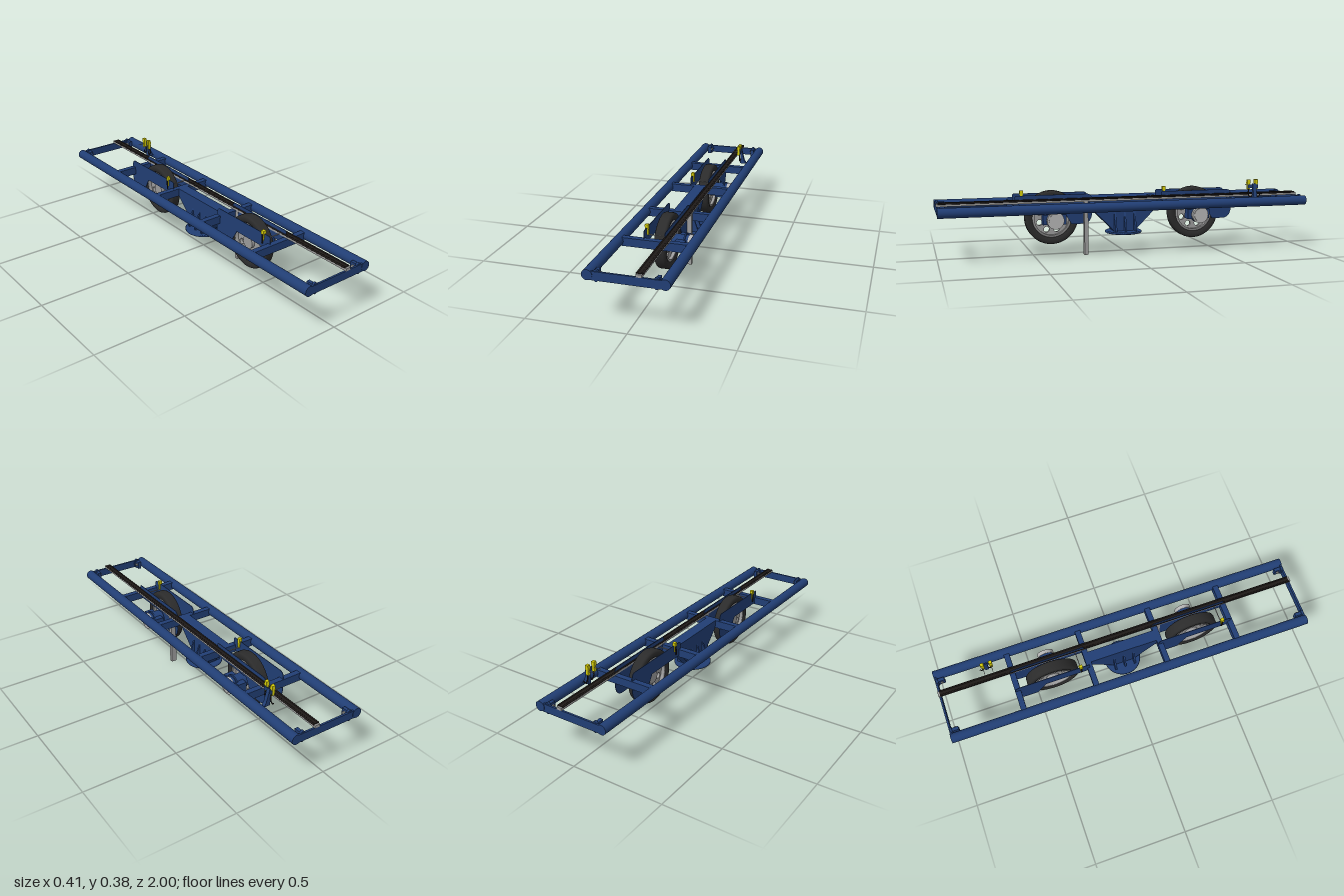
import * as THREE from 'three';

const mat = (name, color, side = THREE.FrontSide) => {
  const m = new THREE.MeshStandardMaterial({ color, side });
  m.name = name;
  return m;
};

export function createModel() {
  const blue = mat('frame blue', 0x213e74);
  const black = mat('tyre black', 0x2b2b2b);
  const grey = mat('metal grey', 0x9b9b9b);
  const silver = mat('motor silver', 0xb4b4b4);
  const yellow = mat('sensor yellow', 0xd8cf08);
  const brown = mat('track brown black', 0x1e1917);

  const root = new THREE.Group();
  root.name = 'wheeledChassis';

  const add = (parent, name, geo, material, x = 0, y = 0, z = 0) => {
    const m = new THREE.Mesh(geo, material);
    m.name = name;
    m.position.set(x, y, z);
    parent.add(m);
    return m;
  };
  const box = (parent, name, material, w, h, d, x, y, z) =>
    add(parent, name, new THREE.BoxGeometry(w, h, d), material, x, y, z);
  const cylX = (parent, name, material, r, len, x, y, z, seg = 32) =>
    add(parent, name, new THREE.CylinderGeometry(r, r, len, seg).rotateZ(Math.PI / 2), material, x, y, z);
  const cylZ = (parent, name, material, r, len, x, y, z, seg = 24) =>
    add(parent, name, new THREE.CylinderGeometry(r, r, len, seg).rotateX(Math.PI / 2), material, x, y, z);
  const poly = (pts) => new THREE.Shape(pts.map(([a, b]) => new THREE.Vector2(a, b)));
  // Plate drawn in (z, y), centred on x = 0
  const sidePlate = (shape, t) =>
    new THREE.ExtrudeGeometry(shape, { depth: t, bevelEnabled: false, curveSegments: 16 })
      .translate(0, 0, -t / 2).rotateY(-Math.PI / 2);
  // Plate drawn in (x, y), centred on z = 0
  const frontPlate = (shape, t) =>
    new THREE.ExtrudeGeometry(shape, { depth: t, bevelEnabled: false }).translate(0, 0, -t / 2);

  // Ladder frame
  for (const s of [-1, 1]) {
    cylZ(root, 'sideTube', blue, 0.026, 2, s * 0.18, 0.266, 0);
    box(root, 'endPlate', blue, 0.36, 0.043, 0.01, 0, 0.2635, s * 0.993);
    for (const z of [0.2, 0.6]) box(root, 'crossBeam', blue, 0.33, 0.043, 0.03, 0, 0.2635, s * z);
    for (const e of [-1, 1]) {
      const lug = cylZ(root, 'endLug', blue, 0.03, 0.012, s * 0.14, 0.264, e * 0.988);
      lug.scale.x = 0.55;
      box(root, 'lugBracket', blue, 0.018, 0.043, 0.04, s * 0.142, 0.2635, e * 0.968);
      cylX(root, 'lugPin', grey, 0.008, 0.024, s * 0.138, 0.266, e * 0.965, 12);
    }
  }

  // Centre pedestal with turntable disc
  const pedestal = new THREE.Group();
  pedestal.name = 'centrePedestal';
  root.add(pedestal);
  box(pedestal, 'spineBeam', blue, 0.06, 0.043, 0.4, 0, 0.2635, 0);
  const web = poly([[-0.19, 0.245], [-0.075, 0.13], [-0.06, 0.11], [0.06, 0.11], [0.075, 0.13], [0.19, 0.245]]);
  add(pedestal, 'taperedWeb', sidePlate(web, 0.06), blue);
  const gusset = poly([[-0.02, 0.245], [-0.06, 0.125], [-0.06, 0.11], [0.06, 0.11], [0.06, 0.125], [0.02, 0.245]]);
  for (const z of [-0.055, 0, 0.055]) add(pedestal, 'crossGusset', frontPlate(gusset, 0.01), blue, 0, 0, z);
  const disc = [[0, 0.1], [0.095, 0.1], [0.1, 0.103], [0.1, 0.11], [0.095, 0.113], [0, 0.113]];
  add(pedestal, 'turntableDisc', new THREE.LatheGeometry(disc.map(([r, y]) => new THREE.Vector2(r, y)), 48), blue);

  // Wheel shapes
  const tyreProfile = [[0.104, -0.024], [0.118, -0.03], [0.132, -0.03], [0.14, -0.026], [0.143, -0.018],
    [0.143, 0.018], [0.14, 0.026], [0.132, 0.03], [0.118, 0.03], [0.104, 0.024], [0.104, -0.024]];
  const tyreGeo = new THREE.LatheGeometry(tyreProfile.map(([r, y]) => new THREE.Vector2(r, y)), 64)
    .rotateZ(Math.PI / 2);
  const lipProfile = [[0.094, -0.025], [0.106, -0.025], [0.106, 0.025], [0.094, 0.025], [0.094, -0.025]];
  const lipGeo = new THREE.LatheGeometry(lipProfile.map(([r, y]) => new THREE.Vector2(r, y)), 48)
    .rotateZ(Math.PI / 2);
  const rimShape = new THREE.Shape().absarc(0, 0, 0.097, 0, Math.PI * 2);
  for (let i = 0; i < 8; i++) {
    const a = (i + 0.5) * Math.PI / 4;
    rimShape.holes.push(new THREE.Path().absarc(0.07 * Math.cos(a), 0.07 * Math.sin(a), 0.015, 0, Math.PI * 2, true));
  }
  const rimGeo = sidePlate(rimShape, 0.016);

  // Fork plate: upper strip with a rounded lobe behind the wheel
  const fork = new THREE.Shape();
  fork.moveTo(0.2, 0.25);
  fork.lineTo(0.2, 0.318);
  fork.lineTo(0.192, 0.325);
  fork.lineTo(-0.185, 0.325);
  fork.quadraticCurveTo(-0.212, 0.325, -0.212, 0.29);
  fork.lineTo(-0.212, 0.215);
  fork.quadraticCurveTo(-0.205, 0.165, -0.16, 0.165);
  fork.lineTo(-0.1, 0.165);
  fork.lineTo(-0.05, 0.25);
  const forkGeo = sidePlate(fork, 0.003);

  // Drive units, front and rear
  for (const z of [0.4, -0.4]) {
    const unit = new THREE.Group();
    unit.name = z > 0 ? 'frontDriveUnit' : 'rearDriveUnit';
    unit.position.z = z;
    root.add(unit);
    add(unit, 'tyre', tyreGeo, black, 0, 0.2, 0);
    add(unit, 'rimRing', lipGeo, grey, 0, 0.2, 0);
    add(unit, 'rimDisc', rimGeo, grey, 0, 0.2, 0);
    cylX(unit, 'hub', grey, 0.035, 0.05, 0, 0.2, 0);
    for (const x of [-0.055, 0.05]) add(unit, 'forkPlate', forkGeo, blue, x, 0, 0);
    cylX(unit, 'gearbox', blue, 0.04, 0.085, 0.073, 0.2, 0);
    box(unit, 'gearboxBlock', blue, 0.05, 0.052, 0.125, 0.08, 0.2, 0);
    cylX(unit, 'gearboxFlange', blue, 0.047, 0.008, 0.095, 0.2, 0);
    cylX(unit, 'motorCover', silver, 0.045, 0.02, 0.124, 0.198, 0);
    cylX(unit, 'motorCap', silver, 0.036, 0.005, 0.135, 0.198, 0);
    // Sensor on a thin cross rod
    box(unit, 'wheelSensor', yellow, 0.017, 0.022, 0.018, -0.055, 0.33, 0.15);
    box(unit, 'wheelSensorBody', yellow, 0.013, 0.03, 0.014, -0.053, 0.304, 0.15);
    box(unit, 'sensorPost', brown, 0.004, 0.05, 0.008, -0.063, 0.297, 0.15);
    box(unit, 'sensorRod', grey, 0.11, 0.004, 0.004, 0, 0.288, 0.15);
  }

  // Long track rail and hanging leg
  box(root, 'trackRail', grey, 0.028, 0.014, 2, 0.062, 0.292, 0);
  box(root, 'trackStrip', brown, 0.026, 0.004, 1.98, 0.062, 0.3, 0);
  for (const x of [0.05, 0.075]) cylZ(root, 'trackEdge', brown, 0.005, 1.98, x, 0.3, 0, 8);
  box(root, 'hangingLeg', grey, 0.029, 0.286, 0.02, 0.0625, 0.143, 0.225);

  // Rear sensor pair on a blue bracket
  const bracket = poly([[0.118, 0.27], [0.118, 0.36], [0.124, 0.36], [0.142, 0.29], [0.155, 0.27]]);
  add(root, 'sensorBracket', frontPlate(bracket, 0.02), blue, 0, 0, -0.72);
  box(root, 'bracketBar', blue, 0.005, 0.02, 0.06, 0.12, 0.345, -0.713);
  for (const z of [-0.69, -0.735]) {
    box(root, 'rearSensor', yellow, 0.017, 0.022, 0.018, 0.111, 0.371, z);
    box(root, 'rearSensorBody', yellow, 0.014, 0.034, 0.015, 0.111, 0.345, z);
    box(root, 'sensorRod', grey, 0.04, 0.003, 0.003, 0.088, 0.35, z);
    const cable = new THREE.CatmullRomCurve3([[0.117, 0.335, z], [0.118, 0.3, z + 0.002],
      [0.118, 0.285, z - 0.012], [0.12, 0.3, z - 0.022]].map((p) => new THREE.Vector3(...p)));
    add(root, 'sensorCable', new THREE.TubeGeometry(cable, 16, 0.003, 6), brown);
  }

  return root;
}
